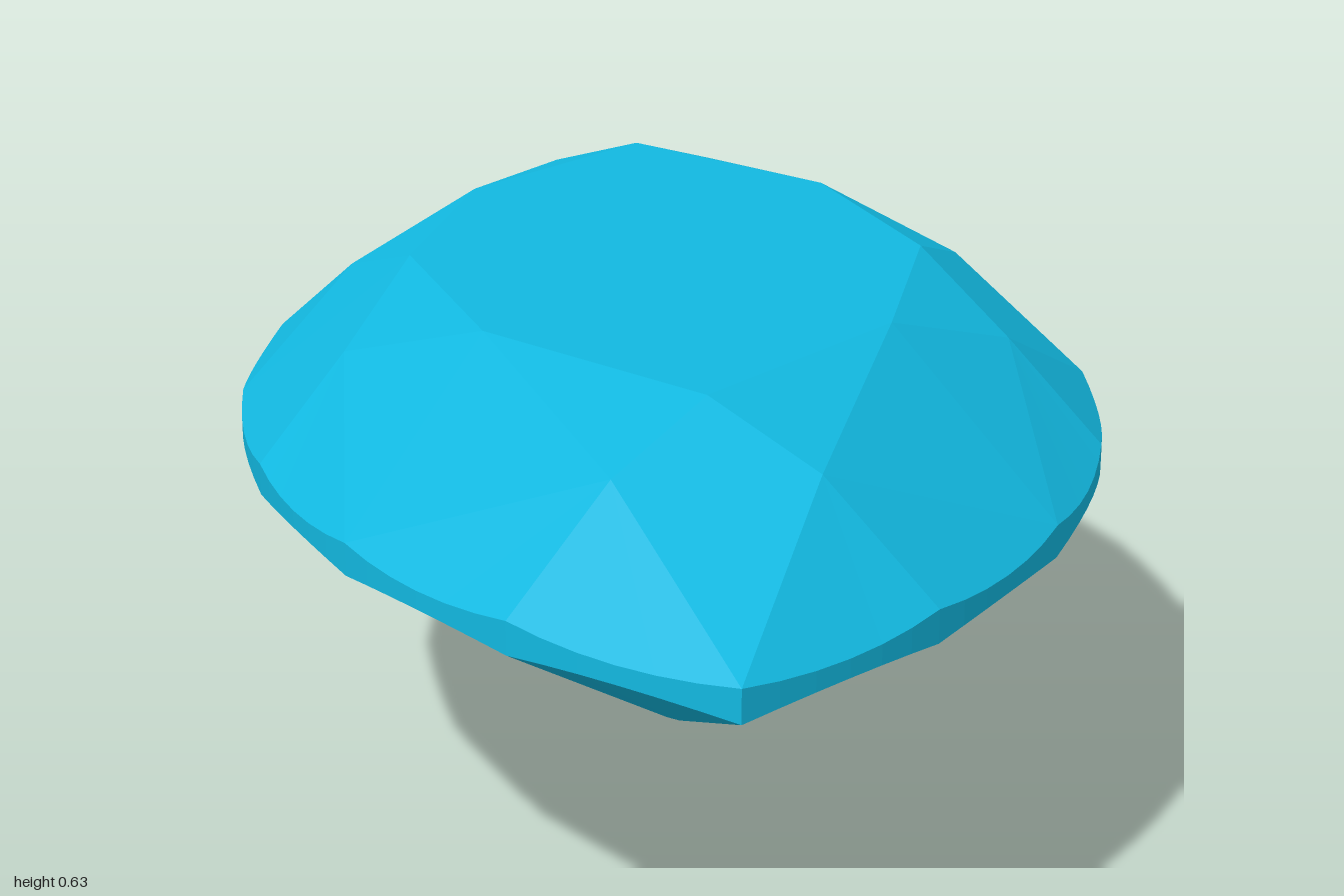
import * as THREE from 'three';

const STEPS = 6;            // outline samples per girdle facet
const COUNT = 16 * STEPS;   // samples around the whole outline
const TABLE_Y = 0.634;

// Pointed oval made of two circular arcs, starting at the +z tip and going towards +x
const RADIUS = 1.2047, CENTRE = 0.6717, HALF_ANGLE = Math.asin(1 / RADIUS);
function outline(i, y, scale = 1) {
  const k = ((i % COUNT) + COUNT) % COUNT;
  const half = COUNT / 2;
  const side = k < half ? 1 : -1;
  const a = HALF_ANGLE * (1 - 2 * (k % half) / half) * side;
  const x = side * (RADIUS * Math.cos(a) - CENTRE);
  return new THREE.Vector3(x * scale, y, RADIUS * Math.sin(a) * scale);
}

// The girdle is thickest at the facet corners and thins between them
const bulge = i => (2 * (((i % STEPS) + STEPS) % STEPS) / STEPS - 1) ** 2;
const girdleTop = i => outline(i, 0.455 + 0.009 * bulge(i));
const girdleBottom = i => outline(i, 0.434 - 0.008 * bulge(i));

// Flat-shaded mesh from a list of triangle corners
function facetMesh(name, corners, material) {
  const geometry = new THREE.BufferGeometry().setFromPoints(corners);
  geometry.computeVertexNormals();
  const mesh = new THREE.Mesh(geometry, material);
  mesh.name = name;
  return mesh;
}

export function createModel() {
  const gem = new THREE.Group();
  gem.name = 'marquiseGem';
  const material = new THREE.MeshStandardMaterial({ color: 0x12b8e0, flatShading: true });

  const table = [], crown = [], girdle = [], pavilion = [];
  const culet = new THREE.Vector3(0, 0, 0);
  const tableCentre = new THREE.Vector3(0, TABLE_Y, 0);
  const main = 2 * STEPS;   // samples between neighbouring main corners

  // Tips of the star facets: one near each pointed end, one near each flank
  const starTip = k => {
    const nearEnd = k % 4 === 0 || k % 4 === 3;
    const sx = k < 4 ? 1 : -1;
    const sz = k < 2 || k > 5 ? 1 : -1;
    return nearEnd
      ? new THREE.Vector3(0.11 * sx, 0.583, 0.72 * sz)
      : new THREE.Vector3(0.398 * sx, 0.571, 0.2 * sz);
  };

  for (let k = 0; k < 8; k++) {
    const i = k * main;
    const t0 = outline(i, TABLE_Y, 0.6), t1 = outline(i + main, TABLE_Y, 0.6);
    const tip = starTip(k), previousTip = starTip((k + 7) % 8);

    // Table and star facets
    table.push(tableCentre, t0, t1);
    crown.push(t0, tip, t1);

    // Kite facet, split along its long diagonal
    const corner = girdleTop(i);
    crown.push(t0, previousTip, corner, t0, corner, tip);

    // Lower main facet between two ridge points
    const ridge0 = outline(i, 0.091, 0.22), ridge1 = outline(i + main, 0.091, 0.22);
    const middle = girdleBottom(i + STEPS);
    pavilion.push(culet, middle, ridge0, culet, ridge1, middle);

    // Facets that meet the girdle, above and below
    for (let j = i; j < i + main; j++) {
      crown.push(tip, girdleTop(j), girdleTop(j + 1));
      pavilion.push(j < i + STEPS ? ridge0 : ridge1, girdleBottom(j + 1), girdleBottom(j));
    }
  }

  // Thin girdle band
  for (let j = 0; j < COUNT; j++) {
    const a = girdleBottom(j), b = girdleBottom(j + 1);
    const c = girdleTop(j + 1), d = girdleTop(j);
    girdle.push(a, b, c, a, c, d);
  }

  gem.add(
    facetMesh('table', table, material),
    facetMesh('crown', crown, material),
    facetMesh('girdle', girdle, material),
    facetMesh('pavilion', pavilion, material)
  );
  return gem;
}
